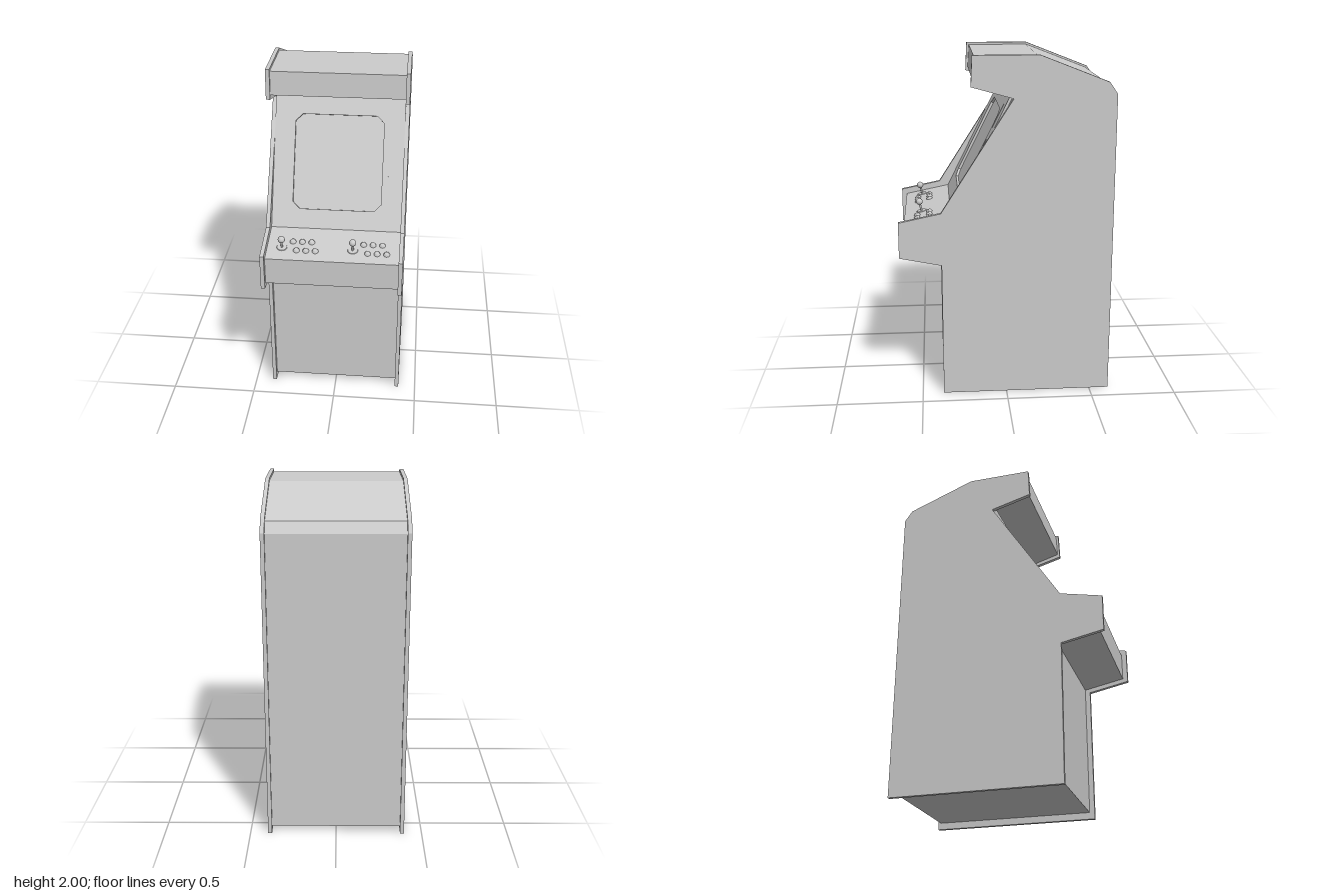
import * as THREE from 'three';

const material = new THREE.MeshStandardMaterial({ color: 0xcccccc });

function add(parent, name, geometry, x = 0, y = 0, z = 0) {
  const mesh = new THREE.Mesh(geometry, material);
  mesh.name = name;
  mesh.position.set(x, y, z);
  parent.add(mesh);
  return mesh;
}

const outline = (points) => points.map(([a, b]) => new THREE.Vector2(a, b));

// Extrudes a [z, y] profile across x, centred on x = 0
function sideProfile(points, width) {
  const geometry = new THREE.ExtrudeGeometry(new THREE.Shape(outline(points)), {
    depth: width, bevelEnabled: false,
  });
  return geometry.translate(0, 0, -width / 2).rotateY(-Math.PI / 2);
}

// Flat plate with one hole, its front at z = 0
function plate(outer, hole, depth) {
  const shape = new THREE.Shape(outline(outer));
  shape.holes.push(new THREE.Path(outline(hole)));
  return new THREE.ExtrudeGeometry(shape, { depth, bevelEnabled: false }).translate(0, 0, -depth);
}

const rect = (x, y0, y1) => [[-x, y0], [x, y0], [x, y1], [-x, y1]];
const chamfered = (x, y0, y1, c) => [
  [-x + c, y0], [x - c, y0], [x, y0 + c], [x, y1 - c],
  [x - c, y1], [-x + c, y1], [-x, y1 - c], [-x, y0 + c],
];

export function createModel() {
  const model = new THREE.Group();
  model.name = 'arcadeCabinet';

  // Side panels
  const panel = sideProfile([
    [0.375, 0], [0.375, 0.805], [0.617, 0.855], [0.617, 1.065], [0.375, 1.115],
    [-0.038, 1.762], [0.199, 1.828], [0.191, 2], [-0.18, 2], [-0.57, 1.848],
    [-0.615, 1.782], [-0.615, 0],
  ], 0.023);
  add(model, 'leftSidePanel', panel, 0.3855);
  add(model, 'rightSidePanel', panel, -0.3855);

  // Body between the panels, set back behind the bezel
  add(model, 'body', sideProfile([
    [0.345, 0.04], [0.345, 0.825], [0.587, 0.875], [0.587, 1.035], [0.32, 1.09],
    [0.303, 1.09], [-0.042, 1.785], [-0.025, 1.787], [0.185, 1.85], [0.177, 1.986],
    [-0.18, 1.986], [-0.562, 1.838], [-0.6, 1.777], [-0.6, 0.04],
  ], 0.75));

  // Sloping bezel with a framed opening; the screen lies recessed behind it
  const bezel = new THREE.Group();
  bezel.name = 'bezel';
  bezel.position.set(0, 1.09, 0.32);
  bezel.rotation.x = -Math.atan2(0.345, 0.695);
  model.add(bezel);
  const frameEdge = rect(0.29, 0.078, 0.703);
  add(bezel, 'bezelPanel', plate(rect(0.374, 0, 0.776), frameEdge, 0.015));
  add(bezel, 'screenFrame',
    plate(frameEdge, chamfered(0.255, 0.112, 0.659, 0.04), 0.015), 0, 0, 0.001);

  // Control deck: local y is square to the sloping top
  const deck = new THREE.Group();
  deck.name = 'controls';
  deck.position.set(0, 1.035, 0.587);
  deck.rotation.x = Math.atan2(0.055, 0.267);
  model.add(deck);

  const washer = new THREE.CylinderGeometry(0.028, 0.03, 0.003, 24);
  const shaft = new THREE.CylinderGeometry(0.006, 0.006, 0.06, 12);
  const ball = new THREE.SphereGeometry(0.02, 20, 14);
  const button = new THREE.LatheGeometry(outline([
    [0.018, 0], [0.018, 0.005], [0.014, 0.008], [0.0135, 0.013], [0.009, 0.015], [0, 0.0155],
  ]), 20);

  for (const [player, x] of [['first', -0.29], ['second', 0.112]]) {
    const controls = new THREE.Group();
    controls.name = player + 'PlayerControls';
    controls.position.x = x;
    deck.add(controls);
    add(controls, 'joystickWasher', washer, 0, 0.0015, -0.102);
    add(controls, 'joystickShaft', shaft, 0, 0.03, -0.102);
    add(controls, 'joystickBall', ball, 0, 0.058, -0.102);
    for (let i = 0; i < 3; i++) {
      add(controls, 'backRowButton', button, 0.058 + i * 0.0535, 0, -0.15);
      add(controls, 'frontRowButton', button, 0.085 + i * 0.0535, 0, -0.078);
    }
  }

  return model;
}
